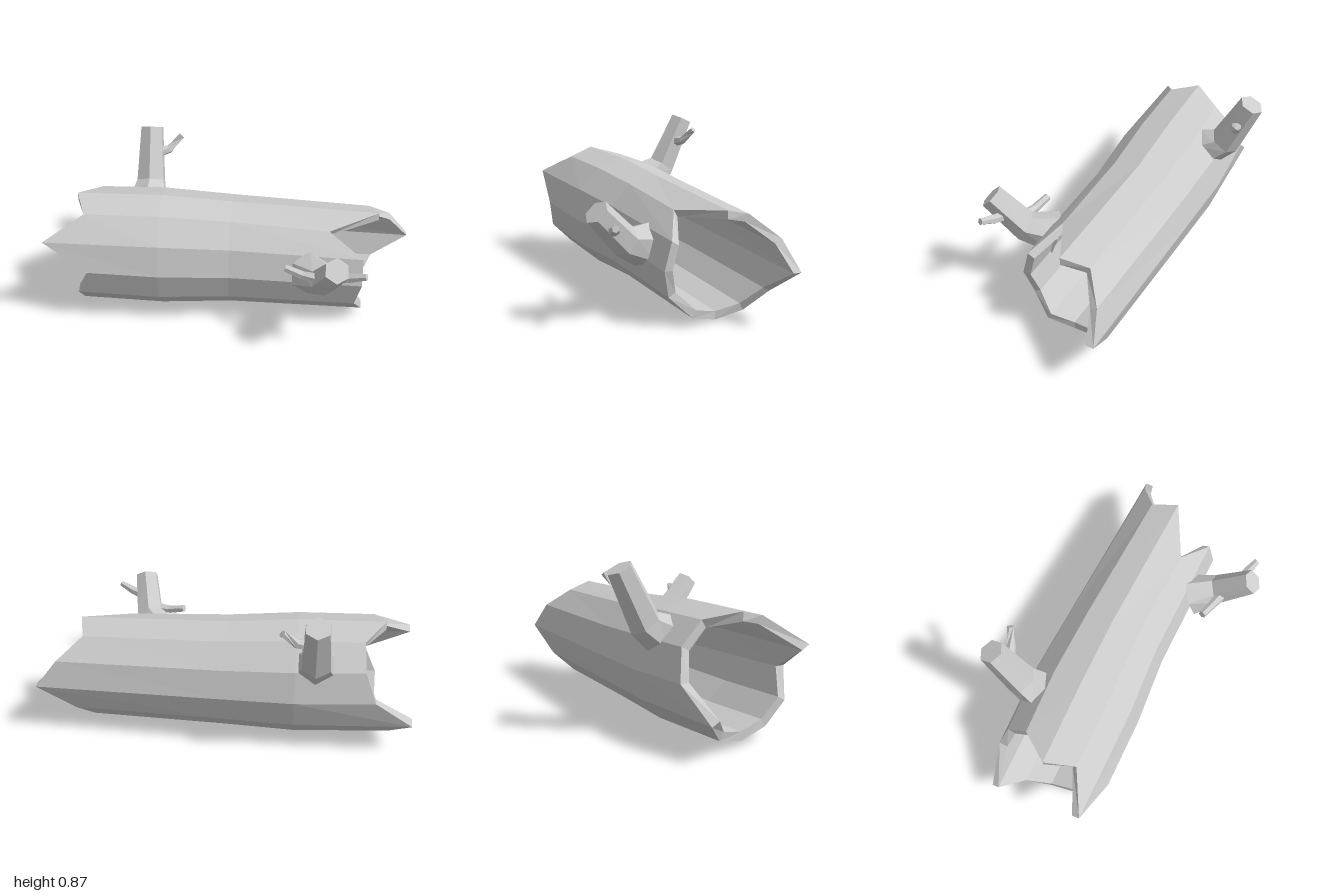
import * as THREE from 'three';

const material = new THREE.MeshStandardMaterial({ color: 0xcccccc, flatShading: true });
const V = (p) => new THREE.Vector3(...p);

// Skin a sequence of equally sided rings with faceted quads
function skin(name, rings) {
  const pos = [];
  const tri = (a, b, c) => {
    const area = b.clone().sub(a).cross(c.clone().sub(a)).length();
    if (area > 1e-9) for (const p of [a, b, c]) pos.push(p.x, p.y, p.z);
  };
  for (let i = 0; i < rings.length - 1; i++) {
    const n = rings[i].length;
    for (let j = 0; j < n; j++) {
      const k = (j + 1) % n;
      tri(rings[i][j], rings[i][k], rings[i + 1][k]);
      tri(rings[i][j], rings[i + 1][k], rings[i + 1][j]);
    }
  }
  const geometry = new THREE.BufferGeometry();
  geometry.setAttribute('position', new THREE.Float32BufferAttribute(pos, 3));
  geometry.computeVertexNormals();
  const mesh = new THREE.Mesh(geometry, material);
  mesh.name = name;
  return mesh;
}

// Capped, tapering limb along a bent path
function limb(name, path, radii, sides = 6) {
  const pts = path.map(V);
  const last = pts.length - 1;
  const ringAt = (i, r) => {
    const t = pts[Math.min(i + 1, last)].clone().sub(pts[Math.max(i - 1, 0)]).normalize();
    const ref = Math.abs(t.x) > 0.75 ? new THREE.Vector3(0, 0, 1) : new THREE.Vector3(1, 0, 0);
    const v = t.clone().cross(ref).normalize();
    const u = v.clone().cross(t);
    return Array.from({ length: sides }, (_, j) => {
      const a = ((j + 0.5) / sides) * Math.PI * 2;
      return pts[i].clone().addScaledVector(u, r * Math.cos(a)).addScaledVector(v, r * Math.sin(a));
    });
  };
  return skin(name, [ringAt(0, 0), ...pts.map((_, i) => ringAt(i, radii[i])), ringAt(last, 0)]);
}

// Hollow twelve-sided trunk with splintered ends; side 0 is the top, side 3 the front
function hollowTrunk() {
  const rightEnd = [-0.84, -0.78, -0.99, -0.75, -0.82, -0.82, -0.84, -0.89, -1, -0.8, -0.74, -0.73];
  const leftEnd = [0.8, 0.53, 0.71, 0.71, 0.68, 0.73, 0.7, 0.73, 0.8, 1, 0.89, 0.76];
  // x per side, centre y, centre z, radius
  const stations = [
    [(k) => rightEnd[k], 0.338, -0.04, 0.312],
    [() => -0.38, 0.322, -0.055, 0.322],
    [() => 0, 0.313, -0.064, 0.3],
    [(k) => leftEnd[k], 0.293, -0.045, 0.285],
  ];
  const ring = ([x, cy, cz, r], scale) =>
    Array.from({ length: 12 }, (_, k) => {
      const a = (k / 12) * Math.PI * 2;
      return new THREE.Vector3(x(k), cy + r * scale * Math.cos(a), cz + r * scale * Math.sin(a));
    });
  const outer = stations.map((s) => ring(s, 1));
  const inner = stations.map((s) => ring(s, 0.85)).reverse();
  return skin('hollowTrunk', [...outer, ...inner, outer[0]]);
}

export function createModel() {
  const model = new THREE.Group();
  model.name = 'hollowLog';
  model.add(hollowTrunk());

  // Front branch with two twigs
  const front = new THREE.Group();
  front.name = 'frontBranch';
  front.add(
    limb('frontBranchStem', [[0.425, 0.355, 0.215], [0.505, 0.405, 0.35], [0.55, 0.575, 0.515]], [0.115, 0.08, 0.066]),
    limb('frontInnerTwig', [[0.48, 0.43, 0.385], [0.39, 0.435, 0.36], [0.3, 0.46, 0.335]], [0.034, 0.024, 0.021]),
    limb('frontOuterTwig', [[0.54, 0.48, 0.435], [0.62, 0.495, 0.455], [0.7, 0.525, 0.485]], [0.034, 0.026, 0.018]),
  );

  // Back branch with one twig
  const back = new THREE.Group();
  back.name = 'backBranch';
  back.add(
    limb('backBranchStem', [[-0.485, 0.5, -0.265], [-0.485, 0.565, -0.36], [-0.485, 0.84, -0.495]], [0.11, 0.086, 0.067]),
    limb('backTwig', [[-0.46, 0.71, -0.425], [-0.385, 0.725, -0.45], [-0.315, 0.795, -0.485]], [0.034, 0.025, 0.019]),
  );
  model.add(front, back);
  return model;
}
